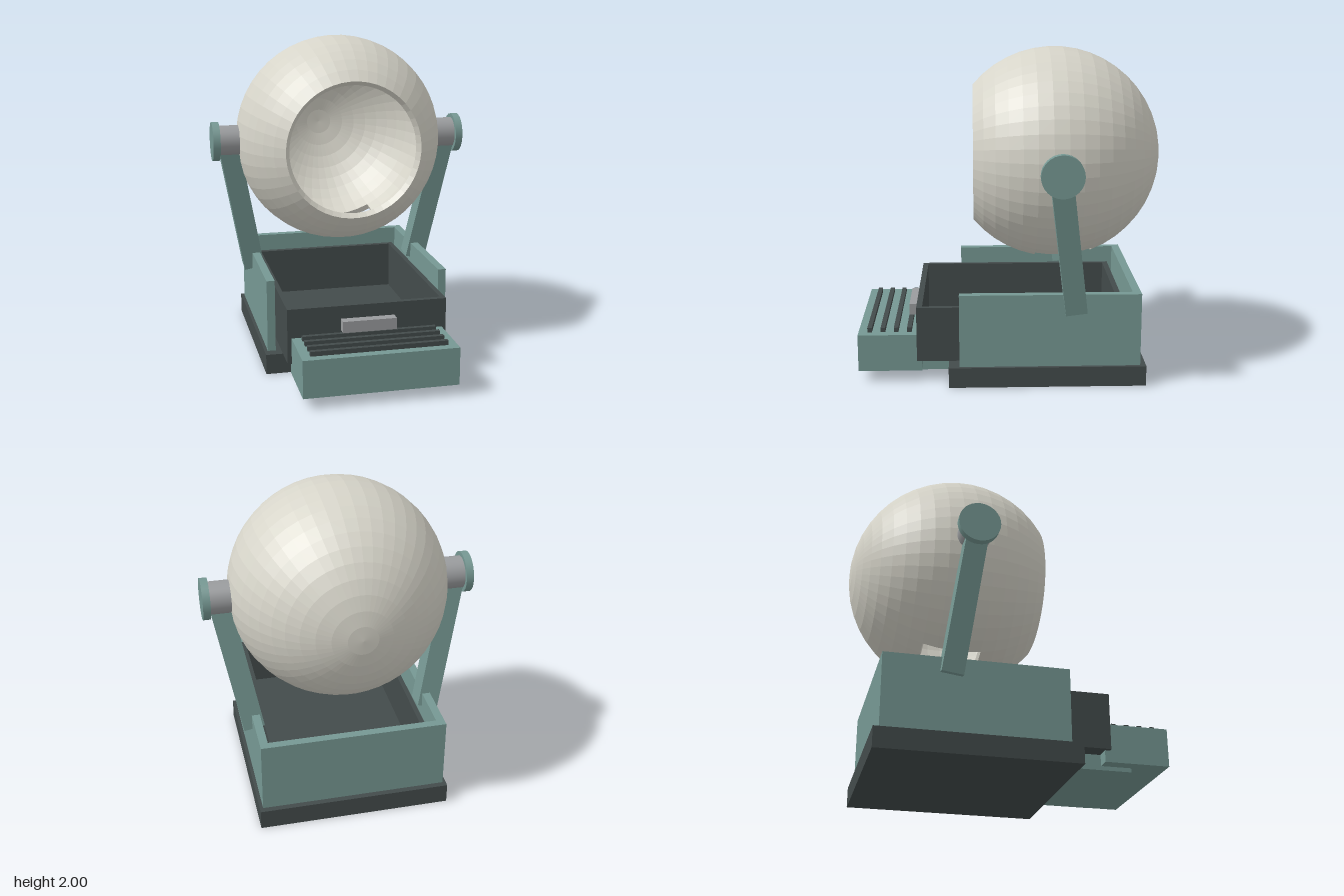
import * as THREE from 'three';

const mat = (color, extra = {}) => new THREE.MeshStandardMaterial({ color, ...extra });
const teal = mat(0x769893);
const dark = mat(0x434b4b);
const metal = mat(0x9a9c9e);
const cream = mat(0xd6d4c9, { flatShading: true });

// Box given by its min/max extents on each axis
function box(parent, name, material, [x0, x1], [y0, y1], [z0, z1]) {
  const mesh = new THREE.Mesh(new THREE.BoxGeometry(x1 - x0, y1 - y0, z1 - z0), material);
  mesh.position.set((x0 + x1) / 2, (y0 + y1) / 2, (z0 + z1) / 2);
  mesh.name = name;
  parent.add(mesh);
  return mesh;
}

// Thick spherical shell around the z axis, with a front mouth and a slot underneath
function shellGeometry(rOut, rIn) {
  const rows = 18, cols = 48, start = THREE.MathUtils.degToRad(40.1);
  const slot = { i0: 5, i1: 9, j1: 7 };
  const pos = [];
  const point = (r, i, j) => {
    const t = start + (Math.PI - start) * i / rows;
    const p = (j - slot.j1 / 2) * 2 * Math.PI / cols;
    return [r * Math.sin(t) * Math.sin(p), -r * Math.sin(t) * Math.cos(p), r * Math.cos(t)];
  };
  const quad = (a, b, c, d) => pos.push(...a, ...b, ...c, ...a, ...c, ...d);
  // wall through the thickness, along a row edge or a column edge
  const wall = (i, j, di, dj, flip) => {
    const q = [point(rIn, i, j), point(rOut, i, j), point(rOut, i + di, j + dj), point(rIn, i + di, j + dj)];
    quad(...(flip ? q.reverse() : q));
  };
  for (let i = 0; i < rows; i++) {
    for (let j = 0; j < cols; j++) {
      if (i >= slot.i0 && i < slot.i1 && j < slot.j1) continue;
      const skin = r => [point(r, i, j), point(r, i + 1, j), point(r, i + 1, j + 1), point(r, i, j + 1)];
      quad(...skin(rOut));
      quad(...skin(rIn).reverse());
    }
  }
  for (let j = 0; j < cols; j++) wall(0, j, 0, 1, false);
  for (let j = 0; j < slot.j1; j++) {
    wall(slot.i0, j, 0, 1, true);
    wall(slot.i1, j, 0, 1, false);
  }
  for (let i = slot.i0; i < slot.i1; i++) {
    wall(i, 0, 1, 0, false);
    wall(i, slot.j1, 1, 0, true);
  }
  const geo = new THREE.BufferGeometry();
  geo.setAttribute('position', new THREE.Float32BufferAttribute(pos, 3));
  geo.computeVertexNormals();
  return geo;
}

export function createModel() {
  const model = new THREE.Group();
  model.name = 'tiltingDrum';
  const center = new THREE.Vector3(0, 1.34, -0.275);

  // Base slab and open-fronted housing
  box(model, 'baseSlab', dark, [-0.59, 0.59], [0, 0.125], [-0.81, 0.385]);
  const housing = new THREE.Group();
  housing.name = 'housing';
  model.add(housing);
  box(housing, 'backWall', teal, [-0.57, 0.57], [0.125, 0.575], [-0.775, -0.725]);
  for (const s of [-1, 1]) {
    const x = [0.52 * s, 0.57 * s].sort((a, b) => a - b);
    box(housing, 'sideWall', teal, x, [0.125, 0.575], [-0.725, 0.32]);
  }

  // Open-topped drawer with a grip
  const drawer = new THREE.Group();
  drawer.name = 'drawer';
  model.add(drawer);
  box(drawer, 'drawerFloor', dark, [-0.46, 0.46], [0.135, 0.17], [-0.66, 0.55]);
  box(drawer, 'drawerFront', dark, [-0.49, 0.49], [0.135, 0.475], [0.545, 0.58]);
  box(drawer, 'drawerBack', dark, [-0.49, 0.49], [0.135, 0.475], [-0.69, -0.655]);
  box(drawer, 'drawerLeft', dark, [0.46, 0.49], [0.135, 0.475], [-0.655, 0.545]);
  box(drawer, 'drawerRight', dark, [-0.49, -0.46], [0.135, 0.475], [-0.655, 0.545]);
  box(drawer, 'drawerHandle', metal, [-0.165, 0.165], [0.325, 0.395], [0.58, 0.64]);

  // Front tray on its bracket, with ribs on top
  const tray = new THREE.Group();
  tray.name = 'frontTray';
  model.add(tray);
  box(tray, 'trayBody', teal, [-0.465, 0.465], [0.065, 0.295], [0.55, 0.94]);
  box(tray, 'trayBracket', teal, [-0.385, 0.385], [0.04, 0.132], [0.3, 0.735]);
  for (let i = 0; i < 4; i++) {
    const z = 0.628 + i * 0.081;
    box(tray, 'trayRib', dark, [-0.41, 0.41], [0.285, 0.323], [z - 0.014, z + 0.014]);
  }

  // Hollow sphere
  const shell = new THREE.Mesh(shellGeometry(0.66, 0.62), cream);
  shell.name = 'sphereShell';
  shell.position.copy(center);
  model.add(shell);

  // Axles, end caps and leaning arms, mirrored
  for (const s of [-1, 1]) {
    const support = new THREE.Group();
    support.name = s > 0 ? 'leftSupport' : 'rightSupport';
    model.add(support);
    const disc = (name, material, r, x0, x1) => {
      const mesh = new THREE.Mesh(new THREE.CylinderGeometry(r, r, x1 - x0, 32), material);
      mesh.rotation.z = Math.PI / 2;
      mesh.position.set(s * (x0 + x1) / 2, center.y, center.z);
      mesh.name = name;
      support.add(mesh);
    };
    disc('axle', metal, 0.1, 0.63, 0.78);
    disc('axleCap', teal, 0.125, 0.775, 0.82);

    const foot = new THREE.Vector3(s * 0.555, 0.477, -0.38);
    const head = new THREE.Vector3(s * 0.713, 1.3, -0.275);
    const dir = head.clone().sub(foot);
    const arm = new THREE.Mesh(new THREE.BoxGeometry(0.13, dir.length(), 0.13), teal);
    arm.position.copy(foot).add(head).multiplyScalar(0.5);
    arm.quaternion.setFromUnitVectors(new THREE.Vector3(0, 1, 0), dir.normalize());
    arm.name = 'supportArm';
    support.add(arm);
  }
  return model;
}
